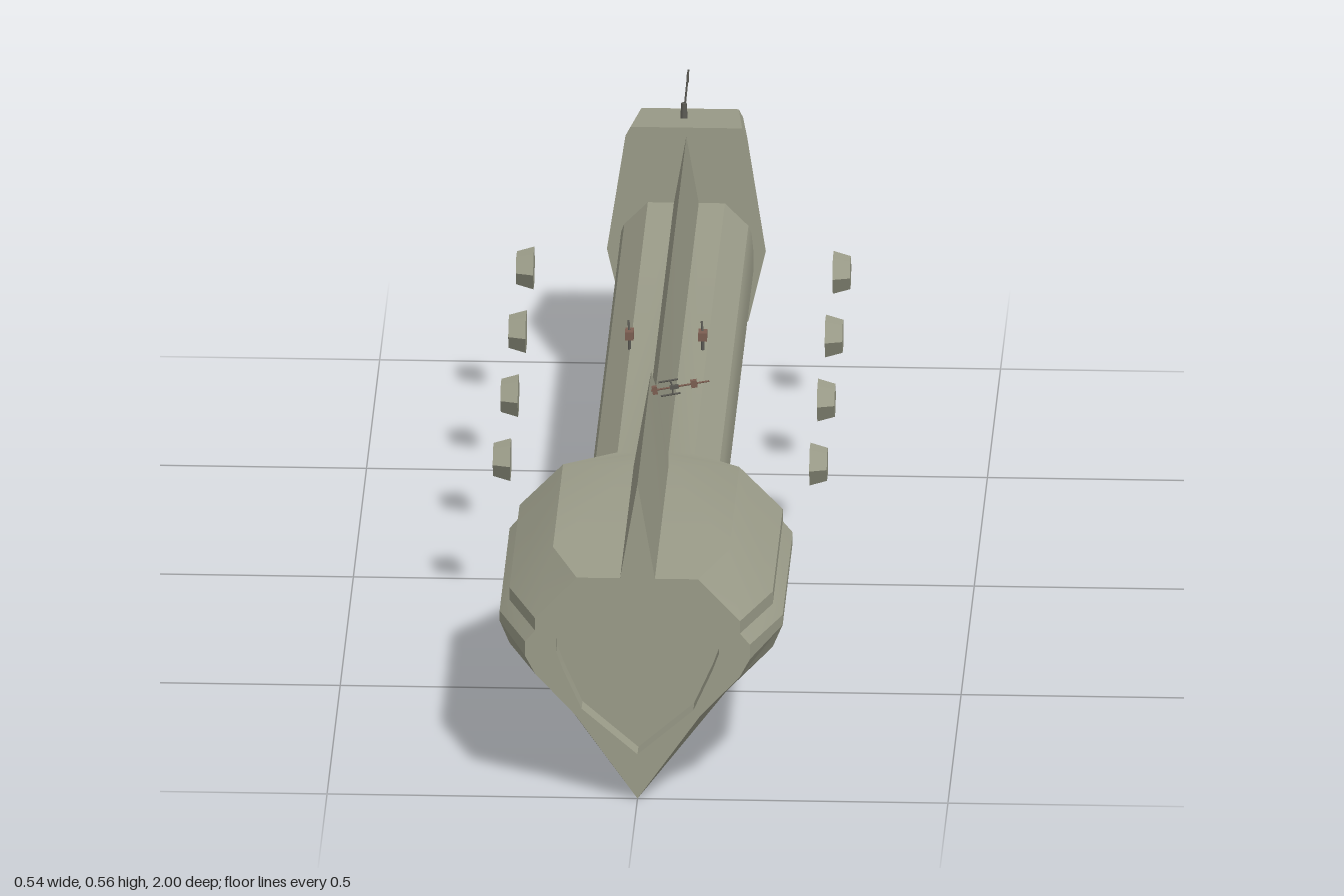
import * as THREE from 'three';
import { toCreasedNormals } from 'three/addons/utils/BufferGeometryUtils.js';

const mat = (name, color) => new THREE.MeshStandardMaterial({ name, color });

// Full counterclockwise ring from a half section listed bottom to top
function ring(half, z) {
  const left = half.filter(p => p[0] > 0).reverse().map(([x, y]) => [-x, y]);
  return [...half, ...left].map(([x, y]) => new THREE.Vector3(x, y, z));
}

// Skin a list of rings (front to back) and close both ends
function loft(rings, crease) {
  const pos = [];
  const tri = (...pts) => pts.forEach(p => pos.push(p.x, p.y, p.z));
  for (let i = 0; i < rings.length - 1; i++) {
    const r = rings[i], s = rings[i + 1], n = r.length;
    for (let j = 0; j < n; j++) {
      const k = (j + 1) % n;
      // Mirror the diagonal on the -x half so both sides match
      if (j < n / 2) {
        tri(r[j], s[j], s[k]);
        tri(r[j], s[k], r[k]);
      } else {
        tri(r[j], s[j], r[k]);
        tri(s[j], s[k], r[k]);
      }
    }
  }
  const cap = (r, flip) => {
    const flat = r.map(p => new THREE.Vector2(p.x, p.y));
    for (const [a, b, c] of THREE.ShapeUtils.triangulateShape(flat, []))
      flip ? tri(r[a], r[c], r[b]) : tri(r[a], r[b], r[c]);
  };
  cap(rings[0], false);
  cap(rings[rings.length - 1], true);
  const g = new THREE.BufferGeometry();
  g.setAttribute('position', new THREE.Float32BufferAttribute(pos, 3));
  g.computeVertexNormals();
  return toCreasedNormals(g, crease);
}

export function createModel() {
  const model = new THREE.Group();
  model.name = 'spaceship';
  const hullMat = mat('hull olive grey', 0x9c9d8a);
  const darkMat = mat('antenna dark grey', 0x5c5b55);
  const rustMat = mat('antenna rust', 0x7d5f52);

  const add = (parent, name, geo, material, x = 0, y = 0, z = 0) => {
    const m = new THREE.Mesh(geo, material);
    m.name = name;
    m.position.set(x, y, z);
    parent.add(m);
    return m;
  };

  // Thin rod between two points
  const rod = (parent, name, a, b, radius, material) => {
    const p = new THREE.Vector3(...a), q = new THREE.Vector3(...b);
    const d = q.clone().sub(p);
    const m = add(parent, name, new THREE.CylinderGeometry(radius, radius, d.length(), 6), material);
    m.position.copy(p).add(q).multiplyScalar(0.5);
    m.quaternion.setFromUnitVectors(new THREE.Vector3(0, 1, 0), d.normalize());
  };

  // Hull half sections: keel, knee, chine, side, notch, shoulder, fin root, fin tip
  const inset = [[0, 0.076], [0.09, 0.153], [0.12, 0.22], [0.131, 0.25], [0.131, 0.272],
    [0.12, 0.288], [0.118, 0.304], [0.068, 0.349], [0.02, 0.349], [0, 0.465]];
  const nose = [[0, 0], [0.1, 0.142], [0.165, 0.212], [0.181, 0.242], [0.181, 0.267],
    [0.165, 0.286], [0.165, 0.307], [0.098, 0.378], [0.028, 0.378], [0, 0.54]];
  const bulge = [[0, 0], [0.147, 0.147], [0.212, 0.212], [0.228, 0.25], [0.228, 0.267],
    [0.212, 0.286], [0.212, 0.307], [0.142, 0.378], [0.028, 0.378], [0, 0.54]];
  // The neck has a plain V bottom, its knee closing up at the keel
  const neck = [[0, 0.063], [0.002, 0.0655], [0.1, 0.19], [0.108, 0.215], [0.108, 0.25],
    [0.105, 0.28], [0.1, 0.293], [0.062, 0.331], [0.02, 0.331], [0, 0.445]];
  add(model, 'hull', loft([
    ring(inset, 0.965), ring(inset, 1), ring(nose, 1), ring(bulge, 0.86),
    ring(bulge, 0.48), ring(neck, 0.295), ring(neck, -0.87),
  ], 0.3), hullMat);

  // Engine block at the stern, tapering backwards
  const block = [[0.04, 0.05], [0.1, 0.13], [0.128, 0.25], [0.098, 0.445], [0.09, 0.46]];
  const blockBack = block.map(([x, y]) => [x * 0.87, 0.255 + (y - 0.255) * 0.9]);
  add(model, 'engineBlock', loft([ring(block, -0.857), ring(blockBack, -1)], 0.1), hullMat);

  // Free-floating hexagonal pods along both sides
  for (const side of [-1, 1]) {
    for (const z of [0.13, -0.165, -0.46, -0.753]) {
      const geo = new THREE.CylinderGeometry(0.027, 0.035, 0.028, 6).toNonIndexed();
      geo.computeVertexNormals();
      geo.rotateZ(-side * Math.PI / 2);
      add(model, side > 0 ? 'leftPod' : 'rightPod', geo, hullMat, side * 0.255, 0.254, z);
    }
  }

  // Forked antenna lying across the top of the fin
  const fork = new THREE.Group();
  fork.name = 'forkAntenna';
  fork.position.set(0.004, 0.544, 0.58);
  fork.rotation.set(0, 0.06, 0.17);
  model.add(fork);
  rod(fork, 'antennaRod', [0, 0, 0], [0.095, 0, 0], 0.0015, rustMat);
  add(fork, 'antennaBase', new THREE.BoxGeometry(0.008, 0.013, 0.008), rustMat, 0.006, 0, 0);
  add(fork, 'antennaBox', new THREE.BoxGeometry(0.01, 0.012, 0.008), rustMat, 0.07, 0, 0);
  add(fork, 'antennaHub', new THREE.BoxGeometry(0.014, 0.006, 0.006), darkMat, 0.038, 0, 0);
  for (const s of [-1, 1]) {
    rod(fork, 'forkArm', [0.036, 0, 0], [0.033, s * 0.012, 0], 0.0015, darkMat);
    rod(fork, 'forkProng', [0.014, s * 0.012, 0], [0.046, s * 0.012, 0], 0.0015, darkMat);
  }

  // Mast on the engine block
  const mast = new THREE.Group();
  mast.name = 'sternMast';
  mast.position.set(-0.007, 0.445, -0.93);
  model.add(mast);
  add(mast, 'mastFoot', new THREE.CylinderGeometry(0.005, 0.007, 0.03, 6), darkMat, 0, 0.015, 0);
  rod(mast, 'mastRod', [0, 0.01, 0], [0.007, 0.085, -0.006], 0.0018, darkMat);
  add(mast, 'mastTip', new THREE.BoxGeometry(0.004, 0.012, 0.005), darkMat, 0.006, 0.07, -0.005);

  // Small sensors on the shoulders
  for (const x of [-0.063, 0.055]) {
    const sensor = new THREE.Group();
    sensor.name = x > 0 ? 'leftSensor' : 'rightSensor';
    sensor.position.set(x, 0.33, -0.182);
    model.add(sensor);
    rod(sensor, 'sensorPost', [0, 0, 0], [0, 0.03, 0], 0.003, darkMat);
    add(sensor, 'sensorHead', new THREE.BoxGeometry(0.014, 0.014, 0.022), rustMat, 0, 0.026, 0);
    rod(sensor, 'sensorProbe', [0, 0.028, 0], [-0.002, 0.047, -0.008], 0.002, darkMat);
  }
  return model;
}
